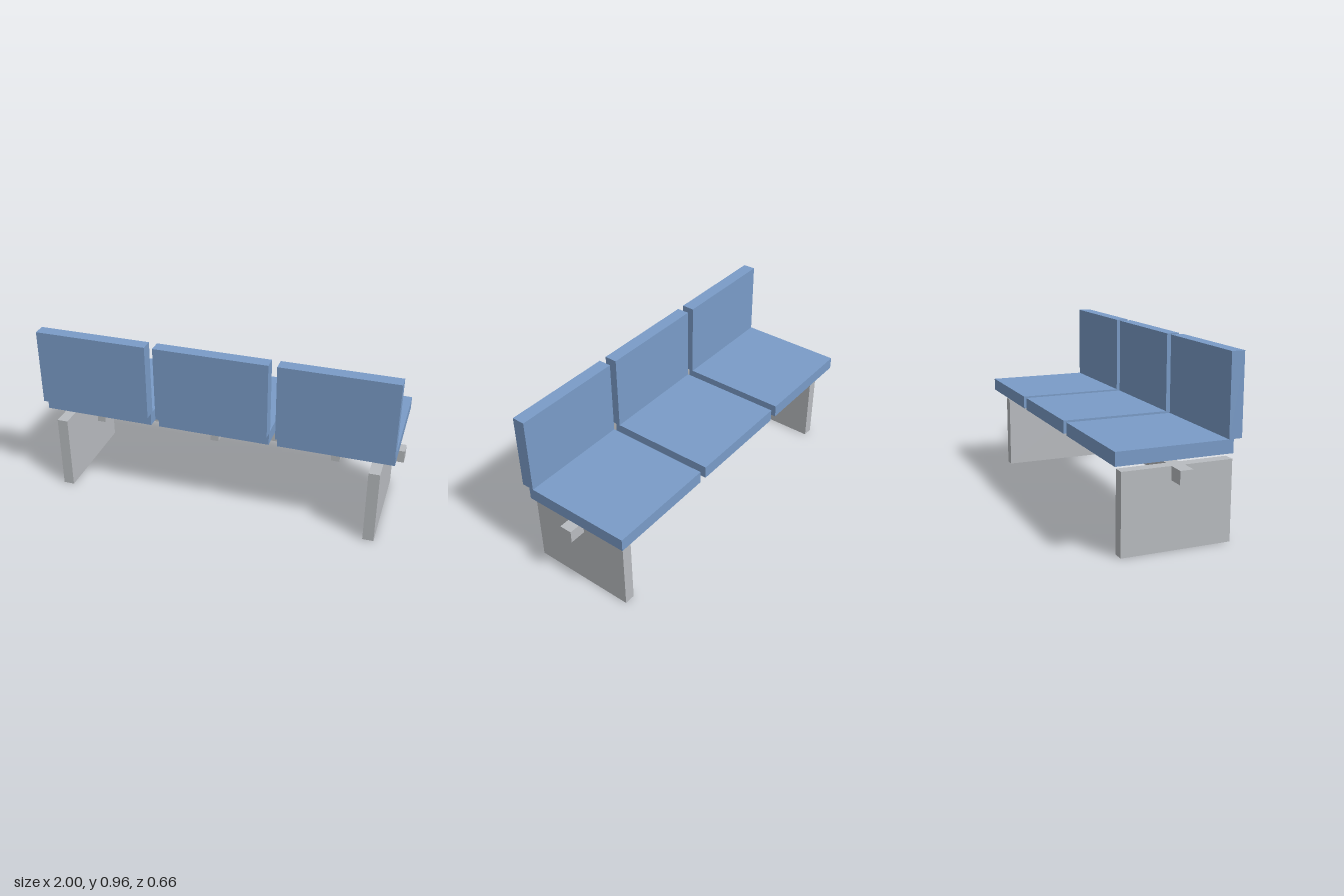
import * as THREE from 'three';

export function createModel() {
  const model = new THREE.Group();
  model.name = 'bench';

  const blue = new THREE.MeshStandardMaterial({ color: 0x7a9cc8 });
  blue.name = 'blue upholstery';
  const grey = new THREE.MeshStandardMaterial({ color: 0xb9bcc0 });
  grey.name = 'grey metal';

  // Box given by its extents along each axis
  function box(name, material, [x0, x1], [y0, y1], [z0, z1], parent = model) {
    const mesh = new THREE.Mesh(new THREE.BoxGeometry(x1 - x0, y1 - y0, z1 - z0), material);
    mesh.position.set((x0 + x1) / 2, (y0 + y1) / 2, (z0 + z1) / 2);
    mesh.name = name;
    parent.add(mesh);
    return mesh;
  }

  // Long beam carrying the seats
  box('beam', grey, [-1, 1], [0.355, 0.425], [-0.01, 0.06]);

  // Panel legs near both ends
  for (const [name, x] of [['rightLeg', -0.88], ['leftLeg', 0.88]]) {
    box(name, grey, [x - 0.03, x + 0.03], [0, 0.425], [-0.27, 0.32]);
  }

  // Three seats, each with cushion, backrest and support bracket
  for (const [name, x] of [['rightSeat', -0.665], ['middleSeat', 0], ['leftSeat', 0.665]]) {
    const seat = new THREE.Group();
    seat.name = name;
    seat.position.x = x;
    box('cushion', blue, [-0.31, 0.31], [0.473, 0.543], [-0.33, 0.285], seat);
    box('backrest', blue, [-0.31, 0.31], [0.543, 0.965], [0.26, 0.33], seat);
    box('bracket', grey, [-0.023, 0.023], [0.425, 0.473], [-0.01, 0.26], seat);
    model.add(seat);
  }

  return model;
}
